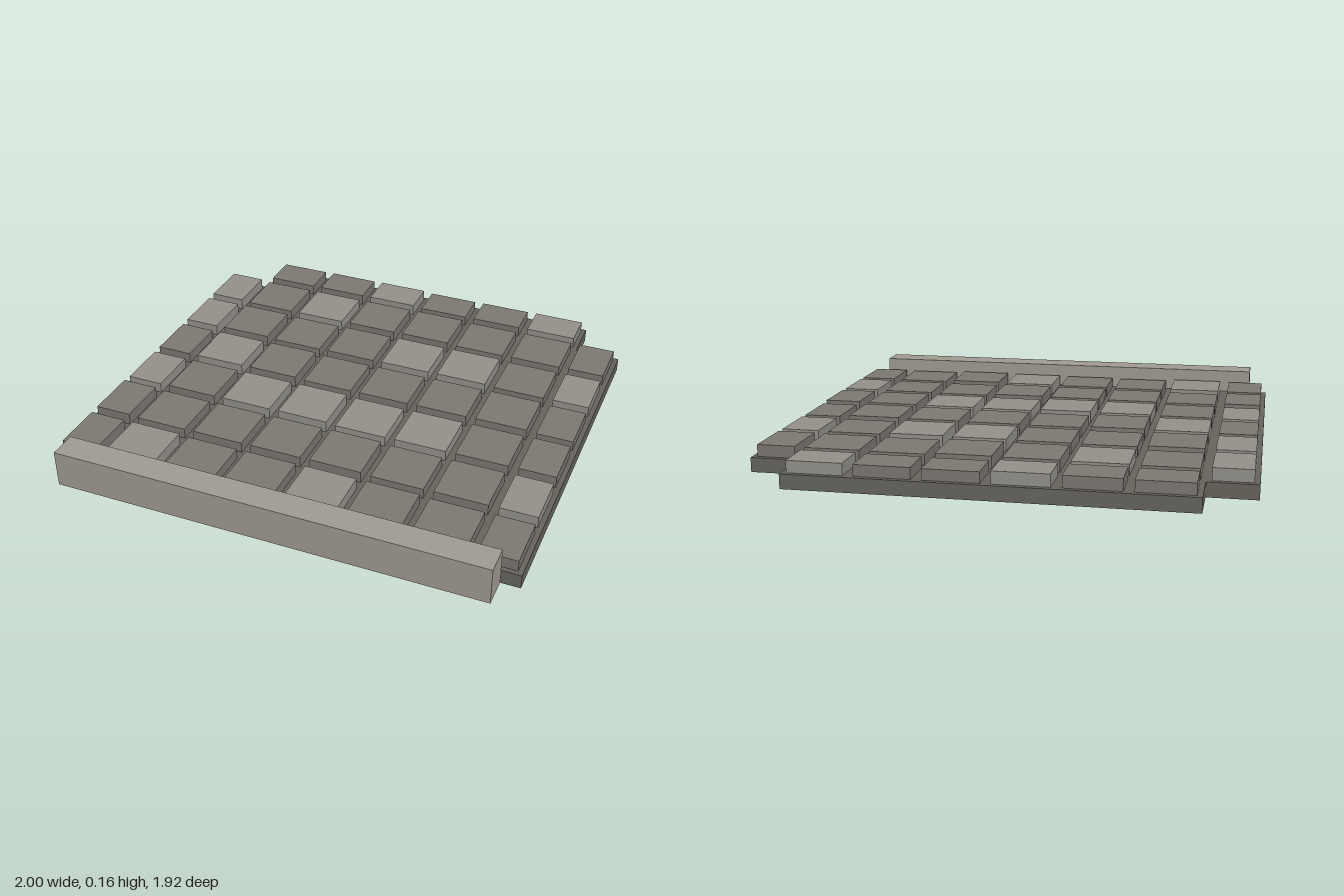
import * as THREE from 'three';

const mat = (color) => new THREE.MeshStandardMaterial({ color, flatShading: true });

export function createModel() {
  const model = new THREE.Group();
  model.name = 'pavementSection';
  const baseMat = mat(0x67645d), darkMat = mat(0x7c7871), lightMat = mat(0x94918a), curbMat = mat(0xa09b92);

  // Slab: wide main part with a narrower back tab, extruded upward
  const outline = [[-1, -0.84], [1, -0.84], [1, 0.76], [0.8, 0.76], [0.8, 0.96], [-0.8, 0.96], [-0.8, 0.76], [-1, 0.76]];
  const shape = new THREE.Shape(outline.map(([x, y]) => new THREE.Vector2(x, y)));
  const slabGeo = new THREE.ExtrudeGeometry(shape, { depth: 0.06, bevelEnabled: false });
  slabGeo.rotateX(-Math.PI / 2);
  const slab = new THREE.Mesh(slabGeo, baseMat);
  slab.name = 'baseSlab';
  model.add(slab);

  // Curb along the front edge
  const curb = new THREE.Mesh(new THREE.BoxGeometry(1.84, 0.16, 0.12), curbMat);
  curb.name = 'curb';
  curb.position.set(0, 0.08, 0.9);
  model.add(curb);

  // Paving stones: one per cell, cut short along the sides and back
  const cell = 1.6 / 6, gap = 0.042;
  const xEdges = [-1, ...Array.from({ length: 7 }, (_, i) => -0.8 + i * cell), 1];
  const zEdges = [-0.96, ...Array.from({ length: 7 }, (_, i) => -0.76 + i * cell)];
  const lightCols = [[3, 6], [0, 2], [0, 4, 5, 7], [1], [0, 2, 3, 4, 5], [7], [1, 4]];
  const stones = new THREE.Group();
  stones.name = 'pavingStones';
  for (let r = 0; r < 7; r++) {
    for (let c = 0; c < 8; c++) {
      if (r === 0 && (c === 0 || c === 7)) continue; // notched back corners
      const w = xEdges[c + 1] - xEdges[c], d = zEdges[r + 1] - zEdges[r];
      const h = 0.045 + 0.002 * ((r * 3 + c * 5) % 4); // slightly uneven tops
      const stone = new THREE.Mesh(
        new THREE.BoxGeometry(w - gap, h, d - gap),
        lightCols[r].includes(c) ? lightMat : darkMat
      );
      stone.name = 'pavingStone';
      stone.position.set(xEdges[c] + w / 2, 0.06 + h / 2, zEdges[r] + d / 2);
      stones.add(stone);
    }
  }
  model.add(stones);
  return model;
}
